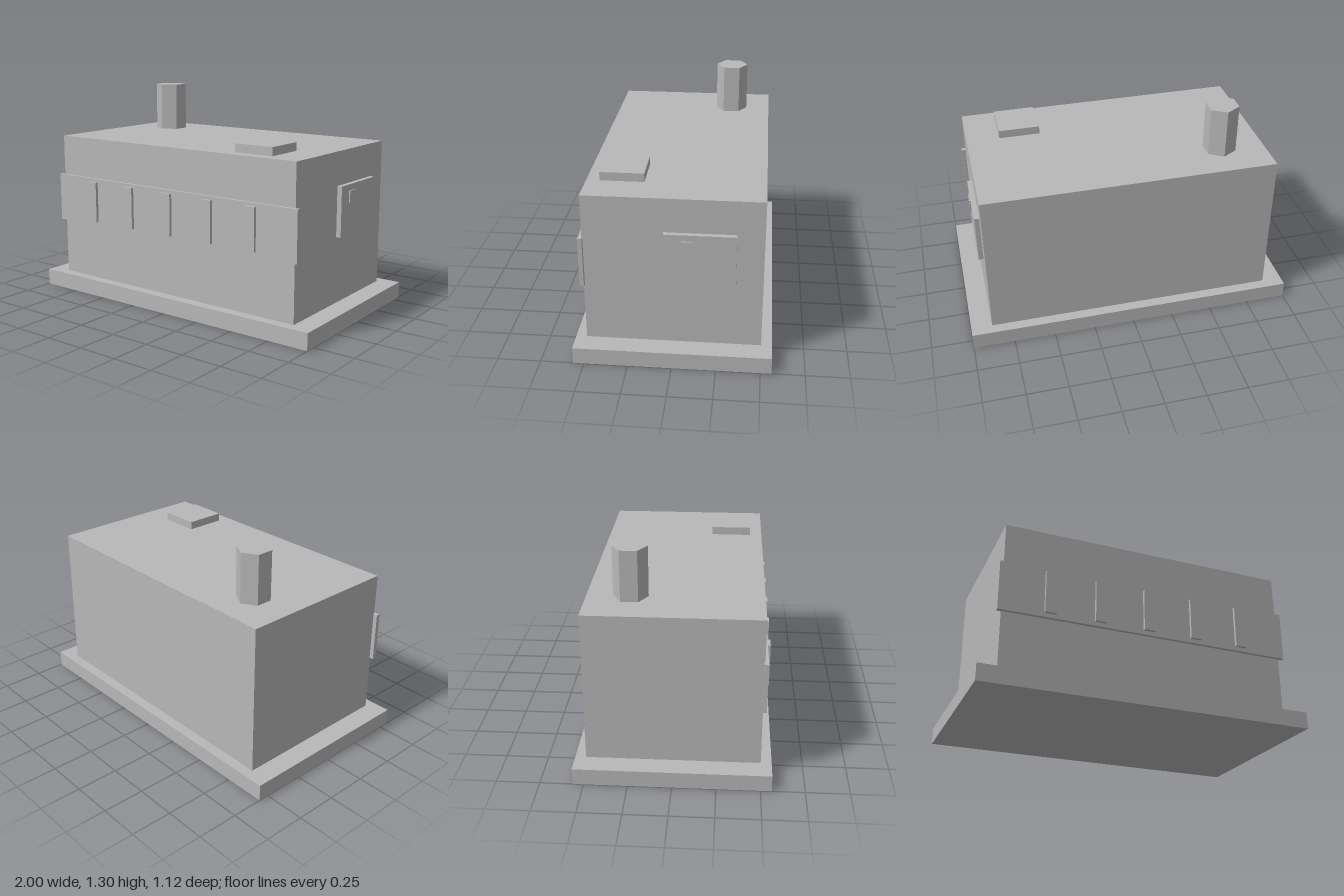
import * as THREE from 'three';

export function createModel() {
  const model = new THREE.Group();
  model.name = 'building';
  const grey = new THREE.MeshStandardMaterial({ color: 0xb8b8b8 });
  grey.name = 'grey';

  // Box given by its min and max on each axis
  const box = (name, [x0, x1], [y0, y1], [z0, z1]) => {
    const mesh = new THREE.Mesh(new THREE.BoxGeometry(x1 - x0, y1 - y0, z1 - z0), grey);
    mesh.position.set((x0 + x1) / 2, (y0 + y1) / 2, (z0 + z1) / 2);
    mesh.name = name;
    model.add(mesh);
  };

  // Foundation and main block
  box('base', [-1, 1], [0, 0.1], [-0.5625, 0.5625]);
  box('body', [-0.875, 0.875], [0.1, 1], [-0.5, 0.5]);

  // Front band with five upright window mullions
  box('frontBand', [-0.9, 0.9], [0.45, 0.75], [0.495, 0.52]);
  for (let i = -2; i <= 2; i++) {
    const x = i * 0.3;
    box('mullion' + (i + 3), [x - 0.035, x + 0.035], [0.475, 0.73], [0.515, 0.538]);
  }

  // Side panel with a small square badge
  box('sidePanel', [0.87, 0.904], [0.5, 0.8], [-0.35, 0.05]);
  box('sidePanelKnob', [0.9, 0.911], [0.69, 0.763], [-0.11, -0.038]);

  // Roof hatch
  box('roofHatch', [0.425, 0.675], [1, 1.05], [0.175, 0.425]);

  // Six-sided chimney
  const chimneyShape = new THREE.CylinderGeometry(0.1, 0.1, 0.3, 6).toNonIndexed();
  chimneyShape.computeVertexNormals();
  const chimney = new THREE.Mesh(chimneyShape, grey);
  chimney.position.set(-0.6, 1.15, -0.25);
  chimney.name = 'chimney';
  model.add(chimney);

  return model;
}
